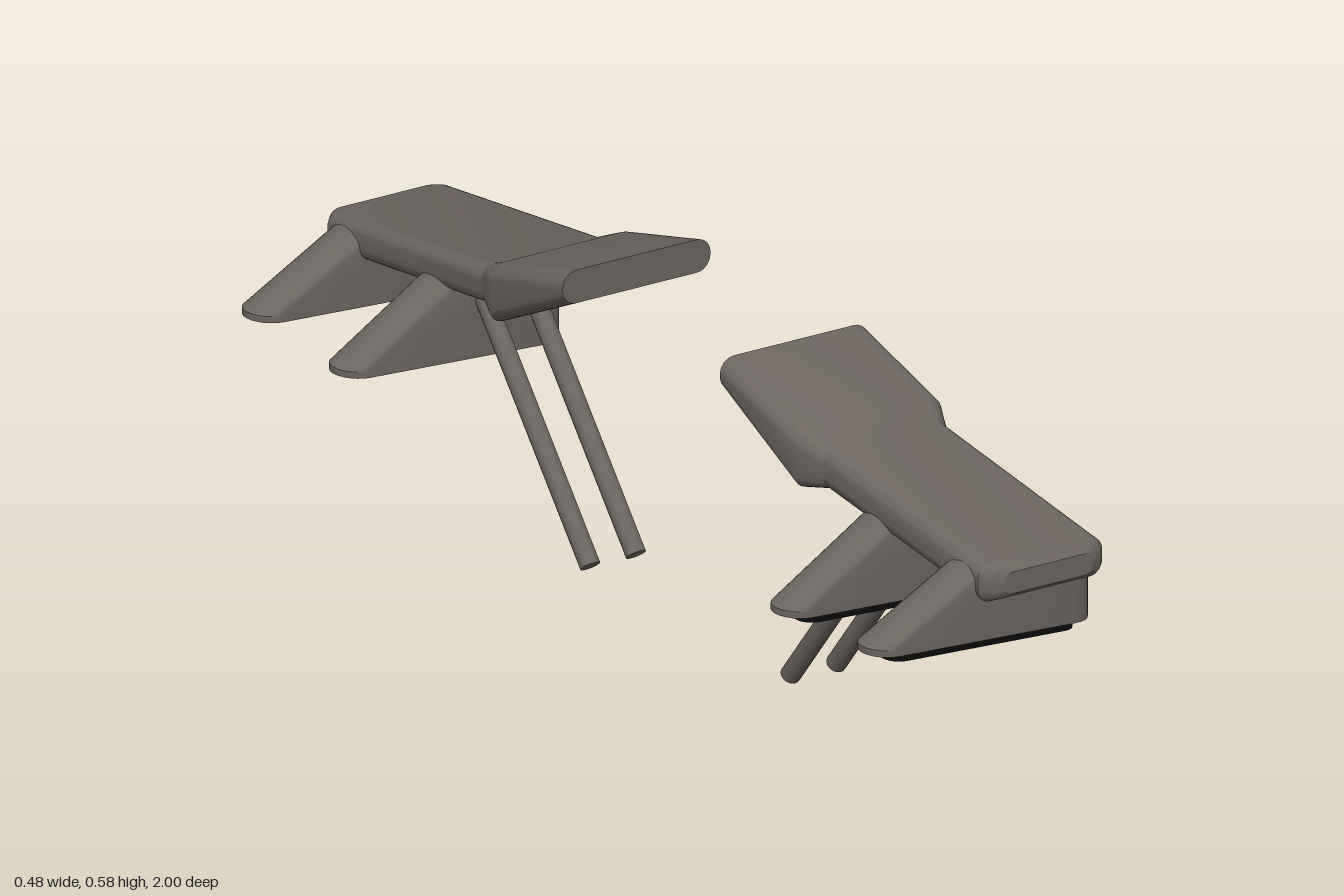
import * as THREE from 'three';
import { toCreasedNormals } from 'three/addons/utils/BufferGeometryUtils.js';

const shell = new THREE.MeshStandardMaterial({ color: 0x6c6560 });
shell.name = 'warm grey';
const rubber = new THREE.MeshStandardMaterial({ color: 0x0b0b0b });
rubber.name = 'black rubber';

// Closed skin through rings of equal point count, with fan caps.
function loft(rings) {
  const n = rings[0].length, pos = [];
  const put = (...pts) => pts.forEach((p) => pos.push(p.x, p.y, p.z));
  for (let i = 0; i + 1 < rings.length; i++) {
    for (let j = 0; j < n; j++) {
      const k = (j + 1) % n;
      const a = rings[i][j], b = rings[i][k], c = rings[i + 1][k], d = rings[i + 1][j];
      put(a, b, c);
      put(a, c, d);
    }
  }
  const first = rings[0], last = rings[rings.length - 1];
  for (let j = 1; j + 1 < n; j++) {
    put(first[0], first[j + 1], first[j]);
    put(last[0], last[j], last[j + 1]);
  }
  const g = new THREE.BufferGeometry();
  g.setAttribute('position', new THREE.Float32BufferAttribute(pos, 3));
  return toCreasedNormals(g, 0.4);
}

// Rounded rectangle across z.
function roundedSection([z, x0, x1, y0, y1, r]) {
  const pts = [], steps = 6;
  const corners = [[x1 - r, y1 - r], [x0 + r, y1 - r], [x0 + r, y0 + r], [x1 - r, y0 + r]];
  corners.forEach(([cx, cy], q) => {
    for (let s = 0; s <= steps; s++) {
      const a = (q + s / steps) * Math.PI / 2;
      pts.push(new THREE.Vector3(cx + r * Math.cos(a), cy + r * Math.sin(a), z));
    }
  });
  return pts;
}

// Long round-ended outline seen from above; height given as a function of x.
function stadium(x0, x1, z, r, height) {
  const pts = [], steps = 12;
  [[x1 - r, -Math.PI / 2], [x0 + r, Math.PI / 2]].forEach(([cx, start]) => {
    for (let s = 0; s <= steps; s++) {
      const a = start + Math.PI * s / steps;
      const x = cx + r * Math.cos(a);
      pts.push(new THREE.Vector3(x, height(x), z - r * Math.sin(a)));
    }
  });
  return pts;
}

function addMesh(group, name, geometry, material) {
  const mesh = new THREE.Mesh(geometry, material);
  mesh.name = name;
  group.add(mesh);
  return mesh;
}

// Body sections: z, x0, x1, y0, y1, corner radius
const BODY = [
  [0.235, -0.063, 0.238, 0.525, 0.585, 0.028],
  [0.455, -0.063, 0.238, 0.42, 0.527, 0.03],
  [0.51, -0.04, 0.213, 0.431, 0.503, 0.025],
  [0.972, -0.04, 0.213, 0.378, 0.447, 0.025],
  [0.99, -0.025, 0.198, 0.386, 0.443, 0.022],
  [1.0, -0.003, 0.175, 0.395, 0.434, 0.015],
];

function createHalf(side, name, withPads) {
  const half = new THREE.Group();
  half.name = name;

  // Bent body with a wider raised end
  const sections = BODY.map(([z, ...rest]) => [z * side, ...rest]);
  if (side < 0) sections.reverse();
  addMesh(half, 'body', loft(sections.map(roundedSection)), shell);

  // Wedge feet with a slanted round nose, and their pads
  for (const [label, z, tip] of [['outer', 0.92, 0.318], ['inner', 0.66, 0.303]]) {
    const sole = (x) => tip - 0.055 * (x + 0.24);
    const foot = loft([
      stadium(-0.24, 0.21, z * side, 0.045, sole),
      stadium(-0.24, 0.21, z * side, 0.045, (x) => sole(x) + 0.012),
      stadium(-0.035, 0.21, z * side, 0.045, () => 0.44),
    ]);
    addMesh(half, label + 'Foot', foot, shell);
    if (withPads) {
      const pad = loft([
        stadium(-0.197, 0.182, z * side, 0.028, (x) => sole(x) - 0.018),
        stadium(-0.197, 0.182, z * side, 0.028, (x) => sole(x) + 0.002),
      ]);
      addMesh(half, label + 'Pad', pad, rubber);
    }
  }

  // Pair of slanted rods
  for (const x of [0.037, 0.13]) {
    const low = new THREE.Vector3(x, 0.0115, 0.299 * side);
    const high = new THREE.Vector3(x, 0.425, 0.64 * side);
    const dir = high.clone().sub(low);
    const rod = addMesh(half, 'rod', new THREE.CylinderGeometry(0.0178, 0.0178, dir.length(), 20), shell);
    rod.position.copy(low).add(high).multiplyScalar(0.5);
    rod.quaternion.setFromUnitVectors(new THREE.Vector3(0, 1, 0), dir.normalize());
  }
  return half;
}

export function createModel() {
  const model = new THREE.Group();
  model.name = 'pairedSupports';
  model.add(createHalf(1, 'frontHalf', true), createHalf(-1, 'backHalf', false));
  return model;
}
